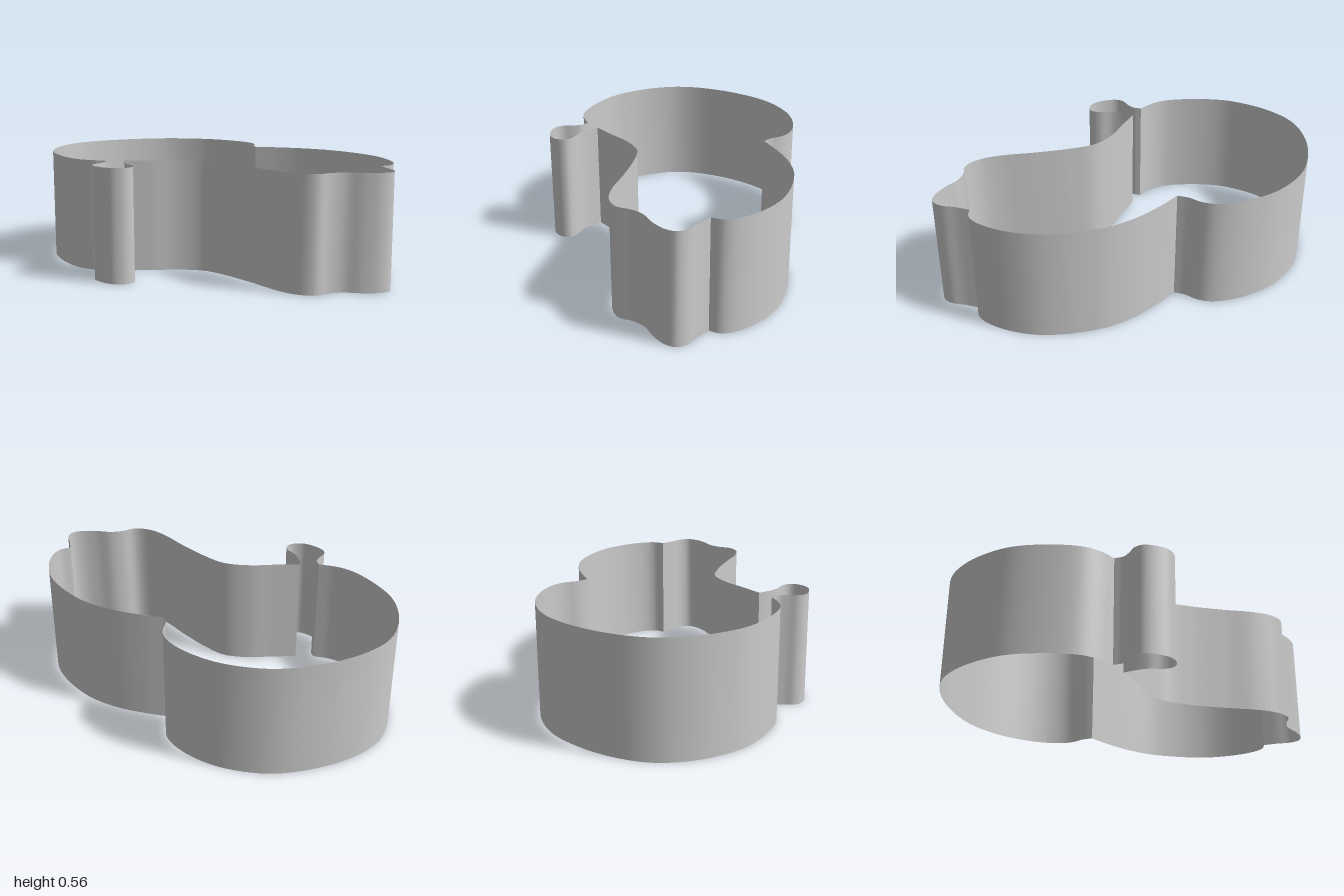
import * as THREE from 'three';

const HEIGHT = 0.565;

// Outline as smooth runs of [x, z]; runs meet at sharp corners.
const RUNS = {
  frontWall: [
    [-0.265, 0.41], [-0.16, 0.33], [-0.055, 0.245], [0.07, 0.19], [0.2, 0.2], [0.39, 0.245],
    [0.56, 0.295], [0.67, 0.303], [0.75, 0.27], [0.785, 0.2], [0.83, 0.15], [0.91, 0.11],
    [0.975, 0.06], [1, 0.01], [0.98, -0.04], [0.92, -0.09], [0.869, -0.14],
  ],
  backRightWall: [
    [0.869, -0.14], [0.892, -0.19], [0.887, -0.24], [0.855, -0.305], [0.8, -0.375], [0.7, -0.46],
    [0.57, -0.52], [0.4, -0.56], [0.31, -0.562], [0.2, -0.548], [0.07, -0.51], [-0.045, -0.465],
  ],
  backLeftWall: [
    [-0.045, -0.465], [-0.085, -0.505], [-0.11, -0.555], [-0.15, -0.6], [-0.23, -0.637],
    [-0.36, -0.655], [-0.52, -0.636], [-0.72, -0.54], [-0.89, -0.35], [-0.98, -0.16],
    [-1, -0.02], [-0.97, 0.12], [-0.91, 0.24], [-0.82, 0.35], [-0.67, 0.445],
    [-0.52, 0.498], [-0.43, 0.495], [-0.345, 0.467],
  ],
  frontTab: [
    [-0.345, 0.467], [-0.312, 0.5], [-0.303, 0.545], [-0.3, 0.6], [-0.275, 0.635],
    [-0.21, 0.655], [-0.14, 0.65], [-0.092, 0.61], [-0.085, 0.565], [-0.115, 0.53],
    [-0.18, 0.5], [-0.225, 0.46], [-0.265, 0.41],
  ],
};

// Upright strip of thin sheet that follows a smooth run of points.
function strip(points) {
  const curve = new THREE.CatmullRomCurve3(points.map(([x, z]) => new THREE.Vector3(x, 0, z)));
  const n = points.length * 6;
  const geometry = new THREE.PlaneGeometry(1, HEIGHT, n, 1);
  const pos = geometry.attributes.position;
  curve.getSpacedPoints(n).forEach((p, i) => {
    pos.setXYZ(i, p.x, HEIGHT, p.z);
    pos.setXYZ(i + n + 1, p.x, 0, p.z);
  });
  geometry.computeVertexNormals();
  return geometry;
}

export function createModel() {
  const group = new THREE.Group();
  group.name = 'cutterBand';
  const material = new THREE.MeshStandardMaterial({ color: 0xcccccc, side: THREE.DoubleSide });
  for (const [name, points] of Object.entries(RUNS)) {
    const mesh = new THREE.Mesh(strip(points), material);
    mesh.name = name;
    group.add(mesh);
  }
  return group;
}
